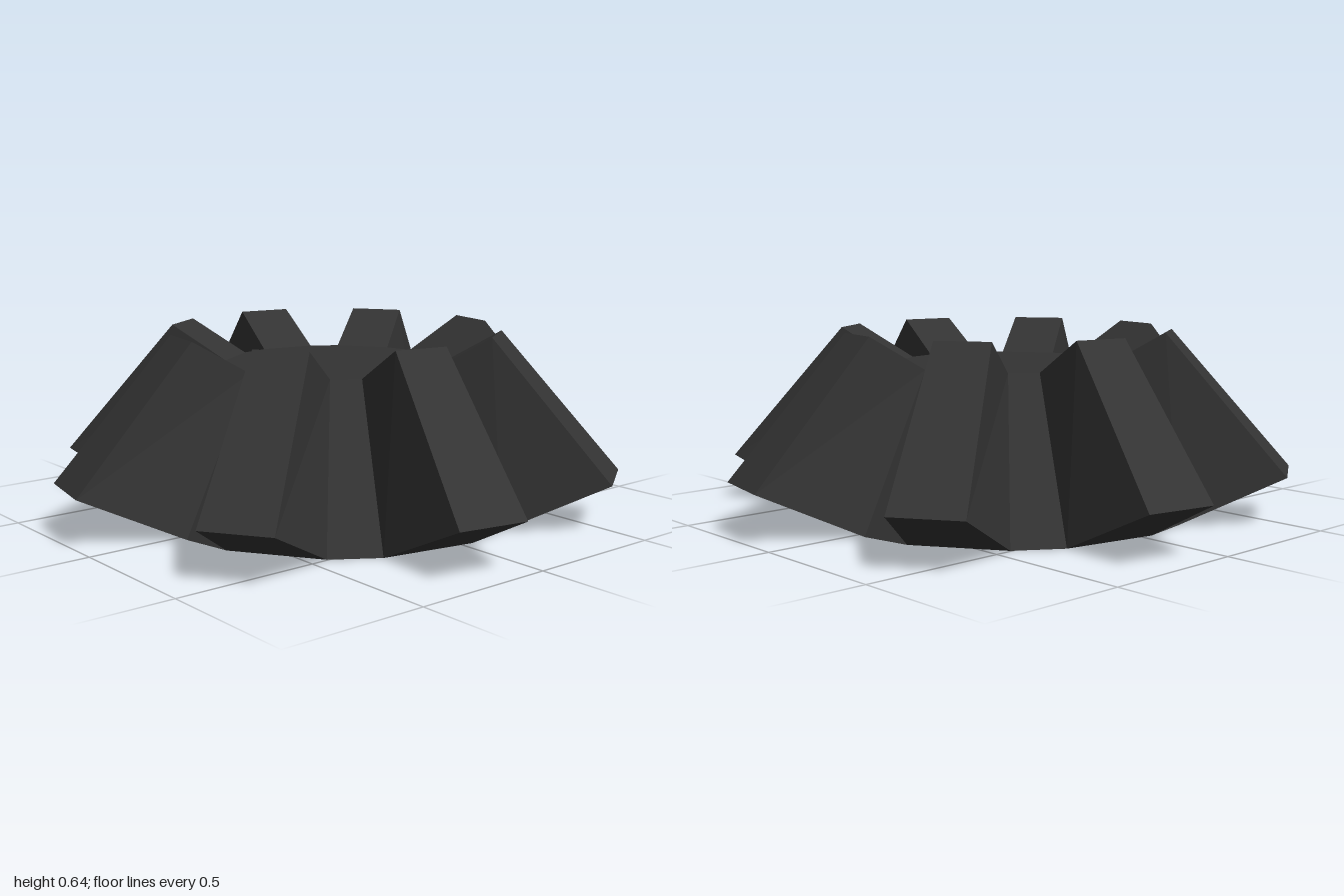
import * as THREE from 'three';

const TEETH = 8;
const STEP = (Math.PI * 2) / TEETH;
const rad = THREE.MathUtils.degToRad;
const FIRST = rad(33.8);     // angle of the first tooth, counterclockwise from above
const ROOT_HALF = rad(14.7); // half angle of a tooth at its root

// point on a ring: radius, height, angle
const ring = (r, y, a) => [r * Math.cos(a), y, -r * Math.sin(a)];

// flat-faced geometry from convex polygons, corners counterclockwise from outside
function fromFaces(faces) {
  const pos = [];
  for (const f of faces)
    for (let i = 1; i < f.length - 1; i++) pos.push(...f[0], ...f[i], ...f[i + 1]);
  const g = new THREE.BufferGeometry();
  g.setAttribute('position', new THREE.Float32BufferAttribute(pos, 3));
  g.computeVertexNormals();
  return g;
}

// one tooth, centred on angle 0: root, outer tip and inner tip edges
function toothGeometry() {
  const edge = (s) => ({
    low: ring(0.662, 0, s * ROOT_HALF),
    outer: ring(1.003, 0.17, s * rad(7)),
    inner: ring(0.587, 0.645, s * rad(9.3)),
    high: ring(0.388, 0.525, s * ROOT_HALF),
  });
  const a = edge(-1), b = edge(1);
  return fromFaces([
    [a.low, b.low, b.outer, a.outer],     // underside
    [a.outer, b.outer, b.inner, a.inner], // sloping crest
    [a.inner, b.inner, b.high, a.high],   // inner end
    [a.low, a.outer, a.inner, a.high],    // flanks
    [b.high, b.inner, b.outer, b.low],
  ]);
}

// conical core: top and bottom discs plus the walls between the teeth
function coreGeometry() {
  const top = [], bottom = [], walls = [];
  for (let i = 0; i < TEETH; i++) {
    const c = FIRST + i * STEP;
    for (const a of [c - ROOT_HALF, c + ROOT_HALF]) {
      top.push(ring(0.388, 0.525, a));
      bottom.push(ring(0.662, 0, a));
    }
  }
  for (let i = 1; i < top.length; i += 2) {
    const n = (i + 1) % top.length;
    walls.push([bottom[i], bottom[n], top[n], top[i]]);
  }
  return fromFaces([top, bottom.slice().reverse(), ...walls]);
}

export function createModel() {
  const group = new THREE.Group();
  group.name = 'bevelGear';
  const metal = new THREE.MeshStandardMaterial({ color: 0x333333 });
  metal.name = 'dark metal';

  const core = new THREE.Mesh(coreGeometry(), metal);
  core.name = 'core';
  group.add(core);

  const geometry = toothGeometry();
  for (let i = 0; i < TEETH; i++) {
    const tooth = new THREE.Mesh(geometry, metal);
    tooth.name = `tooth${i + 1}`;
    tooth.rotation.y = FIRST + i * STEP;
    group.add(tooth);
  }
  return group;
}
